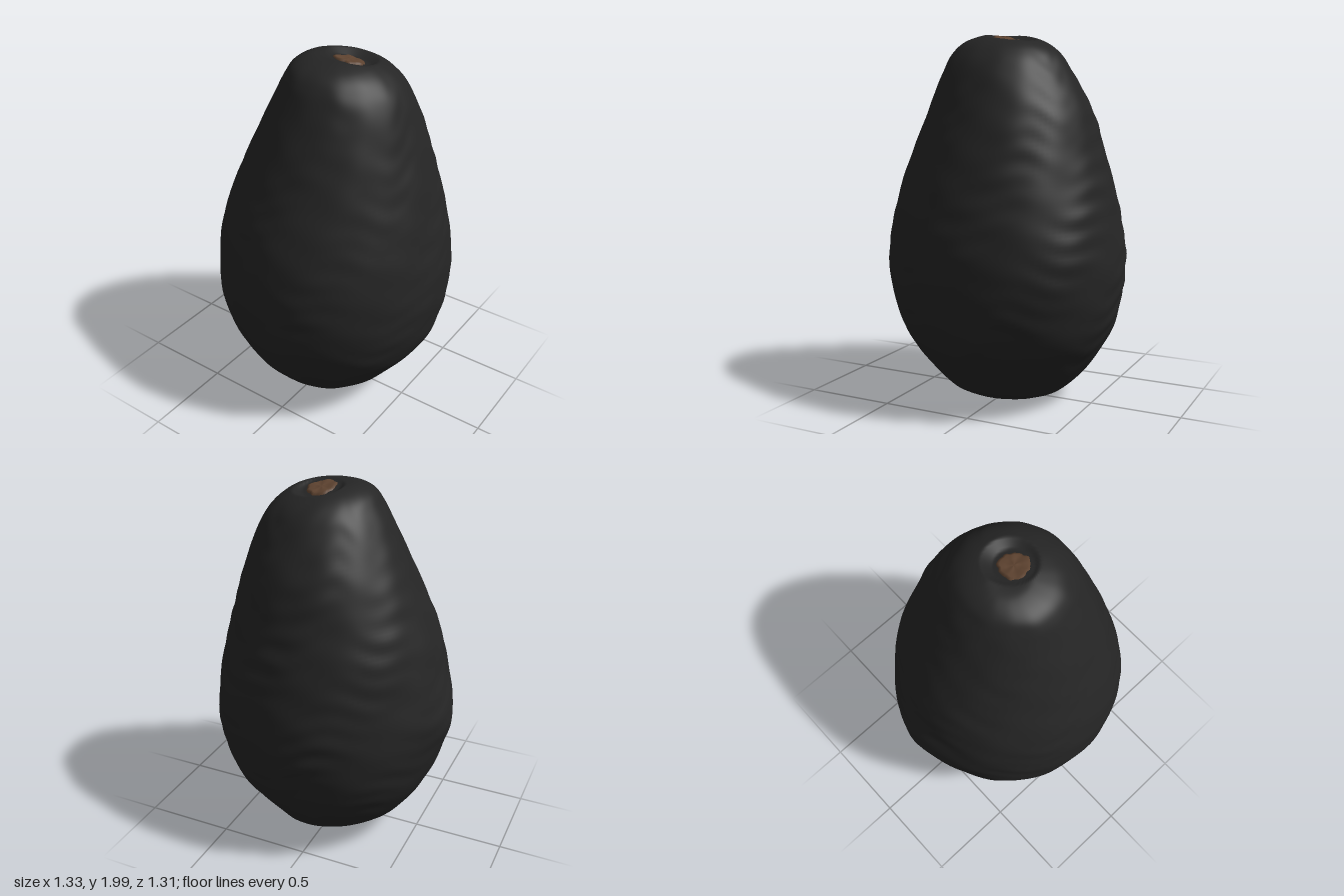
import * as THREE from 'three';

// Closed loft: rings of points from bottom to top, joined around without a seam
function loft(rows, cols, pointAt) {
  const pos = [], index = [];
  for (let i = 0; i <= rows; i++) {
    for (let j = 0; j < cols; j++) {
      pos.push(...pointAt(i / rows, (j / cols) * Math.PI * 2));
      if (i === rows) continue;
      const k = (j + 1) % cols;
      const a = i * cols + j, b = i * cols + k, c = a + cols, d = b + cols;
      index.push(a, c, b, b, c, d);
    }
  }
  const geo = new THREE.BufferGeometry();
  geo.setAttribute('position', new THREE.Float32BufferAttribute(pos, 3));
  geo.setIndex(index);
  geo.computeVertexNormals();
  return geo;
}

const curve = (pts) => new THREE.CatmullRomCurve3(
  pts.map((p) => new THREE.Vector3(...p)), false, 'catmullrom', 0.5);

// Outline at each height: [y, min x, max x, min z, max z]
const OUTLINE = [
  [0.005, 0.09, 0.09, 0, 0],
  [0.01, 0.0, 0.17, -0.11, 0.14],
  [0.05, -0.13, 0.27, -0.28, 0.27],
  [0.1, -0.29, 0.35, -0.37, 0.35],
  [0.2, -0.44, 0.44, -0.46, 0.45],
  [0.4, -0.56, 0.585, -0.585, 0.57],
  [0.6, -0.615, 0.645, -0.64, 0.64],
  [0.8, -0.625, 0.66, -0.655, 0.655],
  [1.0, -0.6, 0.64, -0.63, 0.635],
  [1.2, -0.555, 0.595, -0.59, 0.58],
  [1.4, -0.475, 0.54, -0.535, 0.5],
  [1.6, -0.385, 0.475, -0.475, 0.42],
  [1.8, -0.29, 0.4, -0.37, 0.33],
  [1.9, -0.23, 0.33, -0.3, 0.28],
  [1.96, -0.18, 0.25, -0.21, 0.22],
  [1.995, -0.1, 0.15, -0.1, 0.12],
  [1.995, 0.0, 0.12, -0.06, 0.04],
  [1.99, 0.08, 0.08, -0.03, -0.03],
];
const xCurve = curve(OUTLINE.map(([y, a, b]) => [a, y, b]));
const zCurve = curve(OUTLINE.map(([y, , , a, b]) => [a, y, b]));

// Sloping seat of the stem scar
const STEM = { x: 0.085, y: 1.965, z: -0.03 };
const seat = (x, z) => STEM.y + 0.25 * (z - STEM.z) - 0.1 * (x - STEM.x);

const bell = (...d) => Math.exp(-d.reduce((s, v) => s + v * v, 0));

// Small lumps and level creases of the rind
function rind(a, y) {
  const lumps = Math.sin(5 * a + 4 * y) * Math.sin(7 * y + 2 * a) * 0.004
    + Math.sin(11 * a - 9 * y + 1) * Math.sin(19 * y + 3 * a) * 0.003;
  const crease = Math.sin(52 * y + 2.5 * Math.sin(4 * a) + Math.sin(9 * a + 3 * y))
    * (0.5 + 0.5 * Math.sin(6 * a + 8 * y)) * 0.003;
  return lumps + crease * (0.4 - 0.6 * Math.min(0, Math.sin(a)));
}

function skinPoint(t, a) {
  const px = xCurve.getPoint(t), pz = zCurve.getPoint(t);
  let y = px.y;
  const rx = (px.z - px.x) / 2, rz = (pz.z - pz.x) / 2;
  const c = Math.cos(a), s = Math.sin(a);
  // side bump, and slight fullness at the back left
  const swell = 1 + rind(a, y) / 0.6
    + 0.065 * bell((a - 3.22) / 0.3, (y - 0.79) / 0.17)
    + 0.035 * bell((a - 5.45) / 0.45, (y - 0.75) / 0.5);
  const x = (px.x + px.z) / 2 + rx * c * swell;
  const z = (pz.x + pz.z) / 2 + rz * s * swell;
  // shallow dish around the stem scar
  if (y > 1.8) {
    const d = Math.hypot(x - STEM.x, z - STEM.z);
    y = Math.min(y, seat(x, z) + Math.max(0, d - 0.1) * 0.6);
  }
  return [x, Math.max(0, y), z];
}

// Ragged disc with a raised rim
const stemProfile = [[1, -0.012], [0.97, 0.006], [0.8, 0.011], [0.5, 0.006], [0.2, 0.009], [0, 0.009]];
function stemPoint(t, a) {
  const [f, h] = stemProfile[Math.round(t * (stemProfile.length - 1))];
  const r = f * (0.078 + 0.004 * Math.sin(3 * a + 1) + 0.003 * Math.sin(8 * a) + 0.002 * Math.sin(13 * a));
  const x = STEM.x + r * Math.cos(a), z = STEM.z + r * Math.sin(a);
  return [x, seat(x, z) + h + 0.003 * f * Math.sin(5 * a), z];
}

export function createModel() {
  const skinMat = new THREE.MeshStandardMaterial({ color: 0x252525 });
  skinMat.name = 'darkSkin';
  const stemMat = new THREE.MeshStandardMaterial({ color: 0x5e4330 });
  stemMat.name = 'stemBrown';

  const group = new THREE.Group();
  group.name = 'avocado';

  const skin = new THREE.Mesh(loft(170, 128, skinPoint), skinMat);
  skin.name = 'skin';
  const stem = new THREE.Mesh(loft(stemProfile.length - 1, 40, stemPoint), stemMat);
  stem.name = 'stemScar';
  group.add(skin, stem);
  return group;
}
